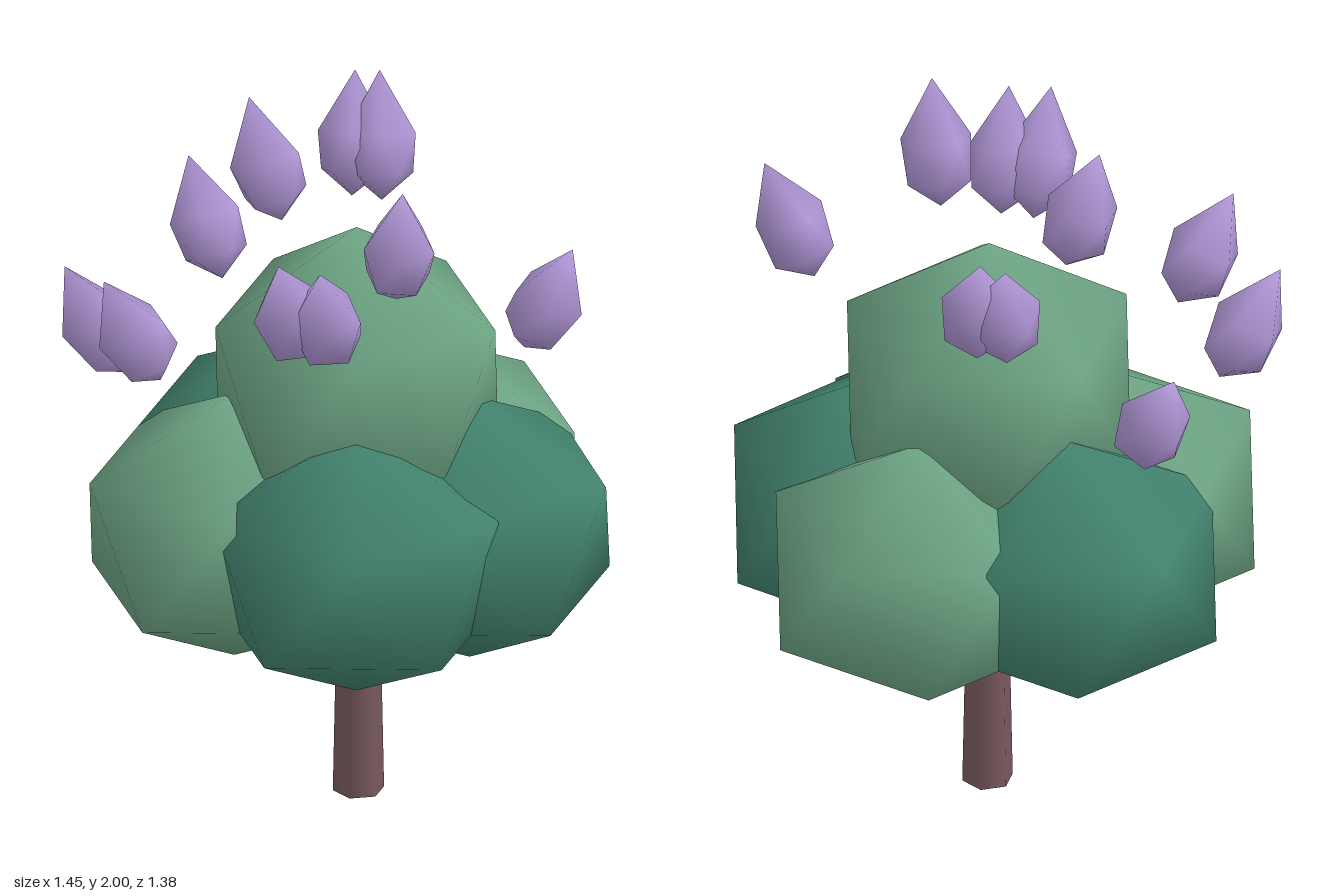
import * as THREE from 'three';
import { mergeVertices } from 'three/addons/utils/BufferGeometryUtils.js';

const material = (name, color) => {
  const m = new THREE.MeshStandardMaterial({ color });
  m.name = name;
  return m;
};

// Smooth icosahedron standing on one vertex, with an upper-ring vertex towards +x
function uprightIcosahedron() {
  const geo = new THREE.IcosahedronGeometry(1, 0);
  geo.deleteAttribute('normal');
  geo.deleteAttribute('uv');
  geo.rotateZ(-Math.atan(2 / (1 + Math.sqrt(5))));
  const merged = mergeVertices(geo, 1e-3);
  merged.computeVertexNormals();
  return merged;
}

// Bud: the same solid with its rings moved along a unit axis and its tip drawn out
function budGeometry() {
  const geo = uprightIcosahedron();
  const p = geo.attributes.position;
  for (let i = 0; i < p.count; i++) {
    const y = p.getY(i);
    const [h, r] = y < -0.9 ? [0, 0] : y < 0 ? [0.2, 0.1] : y < 0.9 ? [0.52, 0.112] : [1, 0];
    p.setXYZ(i, p.getX(i) * r, h * 0.36, p.getZ(i) * r);
  }
  geo.computeVertexNormals();
  return geo;
}

export function createModel() {
  const tree = new THREE.Group();
  tree.name = 'floweringTree';
  const bark = material('bark', 0x7a5a5e);
  const lightLeaf = material('lightLeaf', 0x6ea685);
  const darkLeaf = material('darkLeaf', 0x438470);
  const lilac = material('lilac', 0xb096d6);

  const add = (name, geo, mat, x, y, z) => {
    const mesh = new THREE.Mesh(geo, mat);
    mesh.name = name;
    mesh.position.set(x, y, z);
    tree.add(mesh);
    return mesh;
  };

  // Trunk
  add('trunk', new THREE.CylinderGeometry(0.052, 0.07, 0.9, 6), bark, 0.02, 0.45, 0.005);

  // Crown: one clump on top of a ring of five
  const clump = uprightIcosahedron();
  add('topFoliage', clump, lightLeaf, 0.02, 1.225, 0.02).scale.setScalar(0.442);
  const ring = [
    ['leftFoliage', darkLeaf, 0.335, 0, 0.435],
    ['frontFoliage', darkLeaf, 0.12, 0.305, 0.453],
    ['frontRightFoliage', lightLeaf, -0.265, 0.2, 0.453],
    ['backRightFoliage', darkLeaf, -0.265, -0.19, 0.453],
    ['backFoliage', lightLeaf, 0.12, -0.305, 0.453],
  ];
  for (const [name, mat, x, z, width] of ring) {
    add(name, clump, mat, x, 0.823, z).scale.set(width, 0.387, 0.453);
  }

  // Flower buds: base point, then tip
  const buds = [
    [-0.2, 1.645, 0, -0.29, 2.0, 0.01],
    [-0.13, 1.57, -0.365, -0.16, 1.89, -0.475],
    [-0.045, 1.57, -0.365, -0.09, 1.9, -0.475],
    [0.225, 1.6, 0.28, 0.27, 1.95, 0.355],
    [0.53, 1.43, 0.11, 0.675, 1.75, 0.13],
    [0.02, 1.48, 0.475, 0.01, 1.81, 0.62],
    [0.11, 1.48, 0.475, 0.125, 1.8, 0.61],
    [-0.57, 1.23, 0.21, -0.72, 1.55, 0.28],
    [-0.4, 1.32, 0.41, -0.53, 1.63, 0.5],
    [-0.49, 1.28, -0.34, -0.615, 1.59, -0.42],
  ];
  const bud = budGeometry();
  const up = new THREE.Vector3(0, 1, 0);
  for (const [x, y, z, tx, ty, tz] of buds) {
    const axis = new THREE.Vector3(tx - x, ty - y, tz - z);
    const mesh = add('flowerBud', bud, lilac, x, y, z);
    mesh.scale.y = axis.length() / 0.36;
    mesh.quaternion.setFromUnitVectors(up, axis.normalize());
  }
  return tree;
}
